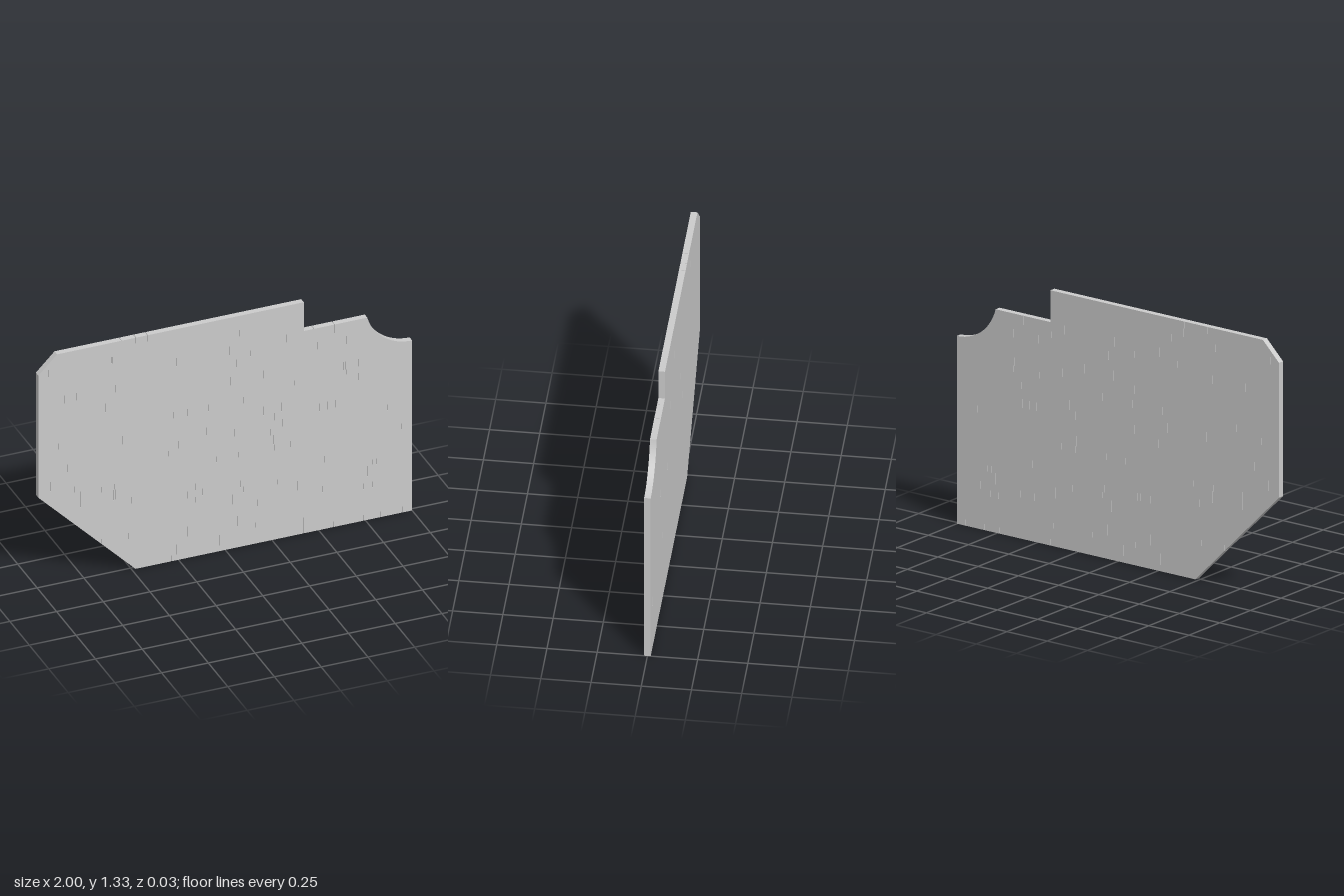
import * as THREE from 'three';

const DEPTH = 0.033;
const TOP = 1.325;
const COURSE_COUNT = 31;
const GAP = 0.002; // open joint between board ends

// Small seeded generator for the irregular joints
function seeded(seed) {
  return () => {
    seed = (seed * 16807) % 2147483647;
    return seed / 2147483647;
  };
}

// Panel outline with cut corners, a step and a round bite, anticlockwise
function panelOutline() {
  const shape = new THREE.Shape();
  shape.moveTo(-0.48, 0);
  shape.lineTo(1, 0);
  shape.absarc(1, 1.223, 0.248, 1.5 * Math.PI, 1.082 * Math.PI, true);
  shape.lineTo(0.42, 1.16);
  shape.lineTo(0.42, TOP);
  shape.lineTo(-0.9, TOP);
  shape.lineTo(-1, 1.225);
  shape.lineTo(-1, 0.525);
  return shape.getPoints(16);
}

// Keep the part of a polygon on one side of a horizontal or vertical line
function clip(poly, axis, limit, sign) {
  const out = [];
  poly.forEach((a, i) => {
    const b = poly[(i + 1) % poly.length];
    const da = sign * (a[axis] - limit), db = sign * (b[axis] - limit);
    if (da >= 0) out.push(a);
    if (da * db < 0) out.push(a.clone().lerp(b, da / (da - db)));
  });
  return out;
}

export function createModel() {
  const group = new THREE.Group();
  group.name = 'boardedPanel';
  const material = new THREE.MeshStandardMaterial({ color: 0xcccccc, flatShading: true });
  const outline = panelOutline();
  const random = seeded(4271);

  // Course heights vary a little around an even spacing
  const levels = Array.from({ length: COURSE_COUNT + 1 }, (_, i) => {
    const wobble = i % COURSE_COUNT === 0 ? 0 : (random() - 0.5) * 0.5;
    return TOP * (i + wobble) / COURSE_COUNT;
  });

  for (let row = 0; row < COURSE_COUNT; row++) {
    const strip = clip(clip(outline, 'y', levels[row], 1), 'y', levels[row + 1], -1);
    const course = new THREE.Group();
    course.name = `course${row + 1}`;

    // A few end joints per course, at uneven positions
    const jointCount = 2 + Math.floor(random() * 5);
    const joints = Array.from({ length: jointCount }, () => random() * 1.9 - 0.95);
    const ends = [-1.1, ...joints.sort((a, b) => a - b), 1.1];

    // Boards of this course, trimmed to the outline
    for (let i = 0; i + 1 < ends.length; i++) {
      const board = clip(clip(strip, 'x', ends[i] + GAP / 2, 1), 'x', ends[i + 1] - GAP / 2, -1);
      if (board.length < 3 || THREE.ShapeUtils.area(board) < 1e-5) continue;
      const geometry = new THREE.ExtrudeGeometry(new THREE.Shape(board), { depth: DEPTH, bevelEnabled: false });
      geometry.translate(0, 0, -DEPTH / 2);
      const mesh = new THREE.Mesh(geometry, material);
      mesh.name = `board${i + 1}`;
      course.add(mesh);
    }
    group.add(course);
  }
  return group;
}
